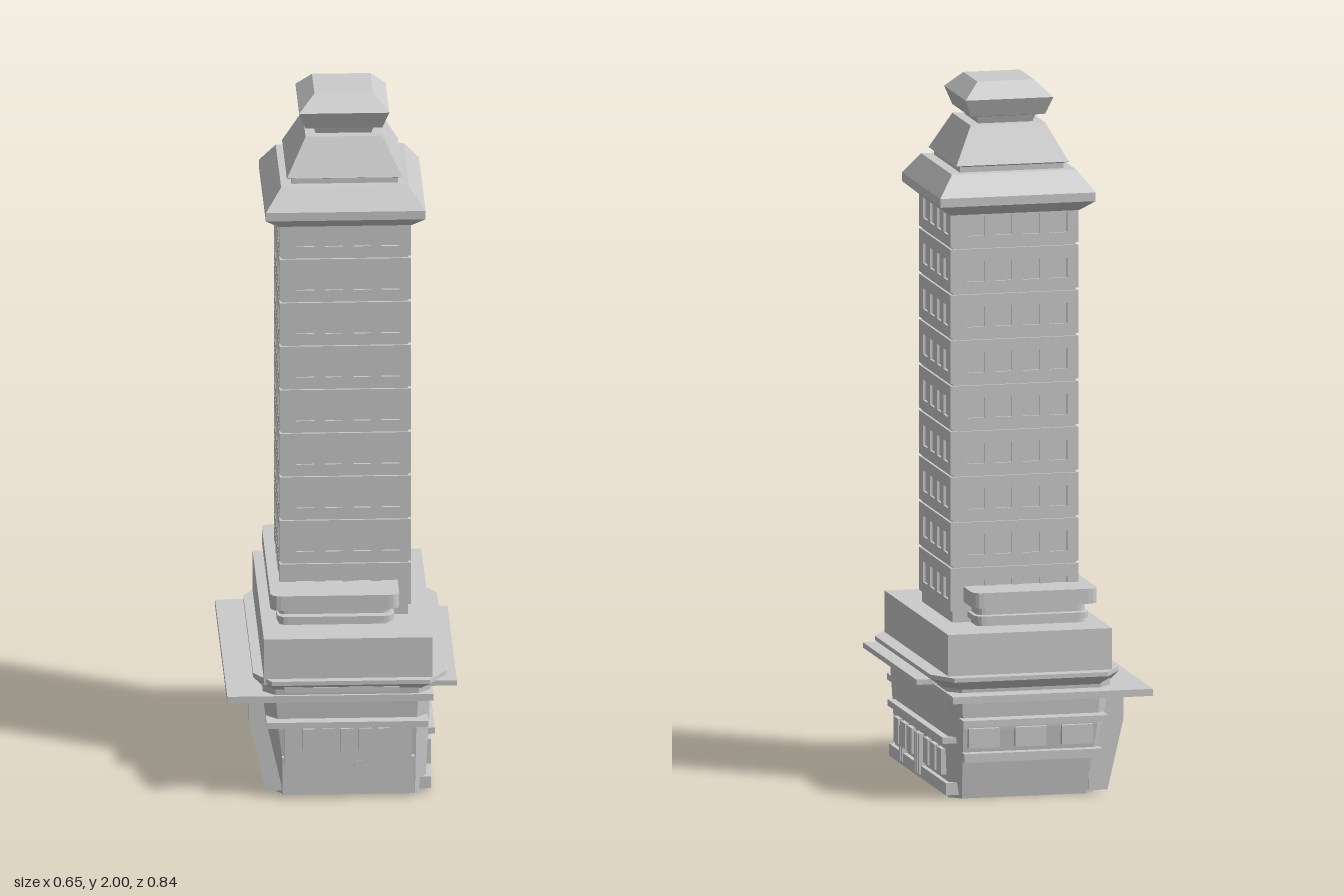
import * as THREE from 'three';

const CX = 0.015, CZ = 0.01; // tower axis

export function createModel() {
  const root = new THREE.Group();
  root.name = 'towerBuilding';
  const mat = new THREE.MeshStandardMaterial({ color: 0xcccccc, flatShading: true });

  const add = (name, geo, parent = root) => {
    const m = new THREE.Mesh(geo, mat);
    m.name = name;
    parent.add(m);
    return m;
  };
  // Box given by its extents
  const box = (name, x0, x1, y0, y1, z0, z1, parent = root) => {
    const g = new THREE.BoxGeometry(x1 - x0, y1 - y0, z1 - z0);
    g.translate((x0 + x1) / 2, (y0 + y1) / 2, (z0 + z1) / 2);
    return add(name, g, parent);
  };
  // Square stepped solid from [half width, height] pairs
  const squareStack = (name, profile) => {
    const pts = profile.map(([h, y]) => new THREE.Vector2(h * Math.SQRT2, y));
    const g = new THREE.LatheGeometry(pts, 4);
    g.rotateY(Math.PI / 4);
    g.translate(CX, 0, CZ);
    return add(name, g);
  };
  // Chamfered rectangular loft from rings [y, x0, x1, z0, z1, cx, cz]
  const loft = (name, rings) => {
    const pos = [], idx = [];
    for (const [y, x0, x1, z0, z1, a, b] of rings) {
      const ring = [[x0 + a, z1], [x1 - a, z1], [x1, z1 - b], [x1, z0 + b],
        [x1 - a, z0], [x0 + a, z0], [x0, z0 + b], [x0, z1 - b]];
      for (const [x, z] of ring) pos.push(x, y, z);
    }
    const top = (rings.length - 1) * 8;
    for (let r = 0; r < top; r += 8)
      for (let i = 0; i < 8; i++) {
        const j = (i + 1) % 8;
        idx.push(r + i, r + j, r + 8 + j, r + i, r + 8 + j, r + 8 + i);
      }
    for (let i = 1; i < 7; i++) idx.push(0, i + 1, i, top, top + i, top + i + 1);
    const g = new THREE.BufferGeometry();
    g.setAttribute('position', new THREE.Float32BufferAttribute(pos, 3));
    g.setIndex(idx);
    g.computeVertexNormals();
    return add(name, g);
  };
  // Horizontal slab with rounded corners
  const roundedSlab = (name, x0, x1, z0, z1, r, y0, y1) => {
    const s = new THREE.Shape();
    s.moveTo(x0 + r, -z1).lineTo(x1 - r, -z1).quadraticCurveTo(x1, -z1, x1, -z1 + r)
      .lineTo(x1, -z0 - r).quadraticCurveTo(x1, -z0, x1 - r, -z0)
      .lineTo(x0 + r, -z0).quadraticCurveTo(x0, -z0, x0, -z0 - r)
      .lineTo(x0, -z1 + r).quadraticCurveTo(x0, -z1, x0 + r, -z1);
    const g = new THREE.ExtrudeGeometry(s, { depth: y1 - y0, bevelEnabled: false, curveSegments: 4 });
    g.rotateX(-Math.PI / 2);
    g.translate(0, y0, 0);
    return add(name, g);
  };

  // Tower core and storeys of pierced wall panels
  box('towerCore', CX - 0.178, CX + 0.178, 0.45, 1.66, CZ - 0.178, CZ + 0.178);
  const panel = new THREE.Shape();
  panel.moveTo(-0.185, 0).lineTo(0.185, 0).lineTo(0.185, 0.123).lineTo(-0.185, 0.123).closePath();
  for (let i = 0; i < 4; i++) {
    const x = -0.112 + i * 0.08, w = 0.025;
    const hole = new THREE.Path();
    hole.moveTo(x - w, 0.03).lineTo(x - w, 0.088).lineTo(x + w, 0.088).lineTo(x + w, 0.03).closePath();
    panel.holes.push(hole);
  }
  const panelGeo = new THREE.ExtrudeGeometry(panel, { depth: 0.008, bevelEnabled: false });
  panelGeo.translate(0, 0, 0.177);
  for (let k = 0; k < 9; k++) {
    const storey = new THREE.Group();
    storey.name = 'storey' + (k + 1);
    storey.position.set(CX, 0.508 + k * 0.13, CZ);
    for (let s = 0; s < 4; s++) add('windowWall', panelGeo, storey).rotation.y = s * Math.PI / 2;
    root.add(storey);
  }

  // Stepped roof
  squareStack('eaves', [[0, 1.64], [0.187, 1.64], [0.225, 1.67], [0.225, 1.695], [0.18, 1.755], [0, 1.755]]);
  squareStack('upperRoof', [[0, 1.75], [0.15, 1.75], [0.15, 1.77], [0.163, 1.775], [0.108, 1.88], [0, 1.88]]);
  squareStack('crown', [[0, 1.87], [0.075, 1.87], [0.085, 1.9], [0.108, 1.905], [0.127, 1.955], [0.082, 2], [0, 2]]);

  // Rounded terraces around the tower foot
  roundedSlab('terraceNeck', -0.175, 0.14, -0.245, 0.265, 0.025, 0.46, 0.54);
  roundedSlab('terraceLower', -0.18, 0.15, -0.27, 0.29, 0.03, 0.49, 0.507);
  roundedSlab('terraceUpper', -0.2, 0.163, -0.293, 0.314, 0.03, 0.535, 0.578);

  // Podium, cornice and canopies
  box('podium', -0.222, 0.253, 0.34, 0.475, -0.36, 0.385);
  loft('cornice', [
    [0.318, -0.225, 0.255, -0.365, 0.375, 0.04, 0.05],
    [0.345, -0.25, 0.295, -0.4, 0.41, 0.05, 0.08],
    [0.357, -0.25, 0.295, -0.4, 0.41, 0.05, 0.08],
  ]);
  box('wideCanopy', -0.325, 0.255, 0.288, 0.308, -0.425, 0.392);
  box('sideCanopy', 0.15, 0.323, 0.32, 0.335, -0.27, 0.357);

  // Flared ground floors
  loft('lowerBody', [
    [0, -0.185, 0.235, -0.325, 0.355, 0.03, 0.03],
    [0.2, -0.215, 0.243, -0.355, 0.375, 0.035, 0.035],
    [0.33, -0.225, 0.25, -0.365, 0.385, 0.035, 0.035],
  ]);

  // Front: shopfront block, window band and awning
  const front = new THREE.Group();
  front.name = 'frontFacade';
  root.add(front);
  box('entranceBlock', -0.17, 0.203, 0.01, 0.12, 0.3, 0.385, front);
  box('windowBand', -0.165, 0.195, 0.105, 0.215, 0.3, 0.4, front);
  box('awning', -0.215, 0.24, 0.217, 0.235, 0.3, 0.412, front);
  box('upperRail', -0.165, 0.16, 0.32, 0.335, 0.3, 0.4, front);
  for (let i = 0; i < 5; i++) {
    const x = -0.095 + i * 0.0525;
    box('frontWindow', x - 0.018, x + 0.018, 0.15, 0.217, 0.39, 0.418, front);
  }
  const lamp = new THREE.CylinderGeometry(0.016, 0.016, 0.02, 12);
  lamp.rotateX(Math.PI / 2);
  add('doorLamp', lamp, front).position.set(0.048, 0.1, 0.392);

  // Left side: awning over six windows and a barred door
  const side = new THREE.Group();
  side.name = 'leftFacade';
  root.add(side);
  box('sideAwning', 0.2, 0.263, 0.16, 0.178, -0.335, 0.31, side);
  box('sideSill', 0.2, 0.25, 0.01, 0.045, -0.32, 0.345, side);
  for (const z of [0.255, 0.175, 0.098, -0.092, -0.17, -0.25])
    box('sideWindow', 0.2, 0.253, 0.062, 0.135, z - 0.028, z + 0.028, side);
  for (const z of [0.024, 0.002, -0.02])
    box('doorBar', 0.2, 0.255, 0.02, 0.135, z - 0.007, z + 0.007, side);
  for (const z of [0.213, 0.19])
    box('sidePilaster', 0.2, 0.252, 0.02, 0.12, z - 0.007, z + 0.007, side);

  // Back: ledges with shallow windows between them
  const back = new THREE.Group();
  back.name = 'backFacade';
  root.add(back);
  box('backLedge', -0.2, 0.22, 0.217, 0.235, -0.405, -0.3, back);
  box('backSill', -0.19, 0.21, 0.11, 0.135, -0.375, -0.3, back);
  for (const x of [-0.12, 0.015, 0.15])
    box('backWindow', x - 0.045, x + 0.045, 0.15, 0.205, -0.37, -0.3, back);

  // Right side: long slots, a framed window and a ledge
  const right = new THREE.Group();
  right.name = 'rightFacade';
  root.add(right);
  for (const y of [0.235, 0.165]) box('longSlot', -0.245, -0.15, y, y + 0.03, -0.28, -0.03, right);
  box('rightLedge', -0.235, -0.15, 0.12, 0.135, -0.33, 0.34, right);
  for (const y of [0.165, 0.245]) box('frameRail', -0.245, -0.15, y, y + 0.014, 0.07, 0.27, right);
  for (const z of [0.07, 0.256]) box('frameStile', -0.245, -0.15, 0.165, 0.259, z, z + 0.014, right);

  // Leaning buttresses at the right-hand corners
  for (const z of [0.33, -0.32]) {
    const s = new THREE.Shape();
    s.moveTo(-0.16, 0.01).lineTo(-0.16, 0.28).lineTo(-0.262, 0.28).lineTo(-0.262, 0.215).lineTo(-0.215, 0.01).closePath();
    const g = new THREE.ExtrudeGeometry(s, { depth: 0.03, bevelEnabled: false });
    g.translate(0, 0, z - 0.015);
    add('cornerButtress', g);
  }
  return root;
}
